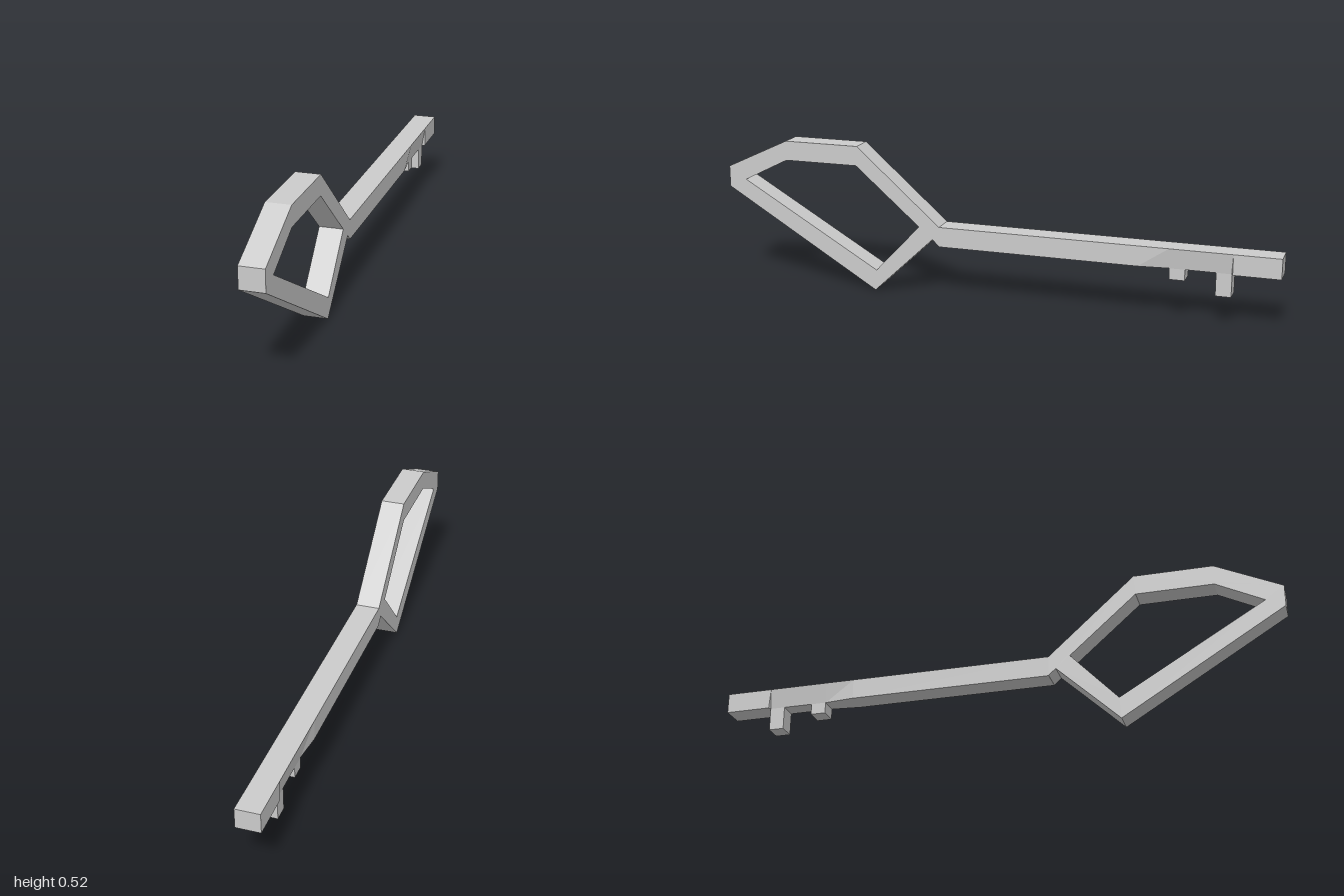
import * as THREE from 'three';

const W = 0.042; // half thickness of the key
const material = new THREE.MeshStandardMaterial({ color: 0xcccccc, flatShading: true });

function addMesh(group, name, geometry) {
  const mesh = new THREE.Mesh(geometry, material);
  mesh.name = name;
  group.add(mesh);
  return mesh;
}

// Flat profile given as [z, y] points, thickened along x
function plate(outline, hole, half) {
  const points = list => list.map(([z, y]) => new THREE.Vector2(z, y));
  const shape = new THREE.Shape(points(outline));
  if (hole) shape.holes.push(new THREE.Path(points(hole)));
  const geometry = new THREE.ExtrudeGeometry(shape, { depth: half * 2, bevelEnabled: false });
  return geometry.rotateY(-Math.PI / 2).translate(half, 0, 0);
}

// Four-sided bar lofted through [z, bottom half width] stations, front to back
function bar(stations, bottom, top) {
  const positions = [], index = [];
  for (const [z, b] of stations) {
    positions.push(b, bottom, z, W, top, z, -W, top, z, -b, bottom, z);
  }
  const last = (stations.length - 1) * 4;
  for (let i = 0; i < last; i += 4) {
    for (let j = 0; j < 4; j++) {
      const a = i + j, b = i + (j + 1) % 4, c = b + 4, d = a + 4;
      index.push(a, d, c, a, c, b);
    }
  }
  index.push(0, 1, 2, 0, 2, 3, last, last + 2, last + 1, last, last + 3, last + 2);
  const geometry = new THREE.BufferGeometry();
  geometry.setAttribute('position', new THREE.Float32BufferAttribute(positions, 3));
  geometry.setIndex(index);
  const flat = geometry.toNonIndexed();
  flat.computeVertexNormals();
  return flat;
}

export function createModel() {
  const key = new THREE.Group();
  key.name = 'key';

  // Angular open handle
  addMesh(key, 'bow', plate(
    [[1, 0.415], [0.77, 0.523], [0.495, 0.523], [0.19, 0.255], [0.19, 0.185], [0.215, 0.208], [0.435, 0], [1, 0.34]],
    [[0.935, 0.37], [0.77, 0.453], [0.5, 0.453], [0.265, 0.25], [0.43, 0.075]],
    W,
  ));

  // Long shaft, its underside pinched around the teeth
  const pinch = 0.031;
  addMesh(key, 'shaft', bar(
    [[0.19, W], [-0.52, W], [-0.625, pinch], [-0.835, pinch], [-0.84, W], [-1, W]],
    0.184, 0.255,
  ));

  // Two teeth hanging below the shaft
  for (const [name, z, bottom] of [['shortTooth', -0.653, 0.145], ['longTooth', -0.81, 0.103]]) {
    const height = 0.19 - bottom;
    addMesh(key, name, new THREE.BoxGeometry(pinch * 2, height, 0.053))
      .position.set(0, bottom + height / 2, z);
  }
  return key;
}
